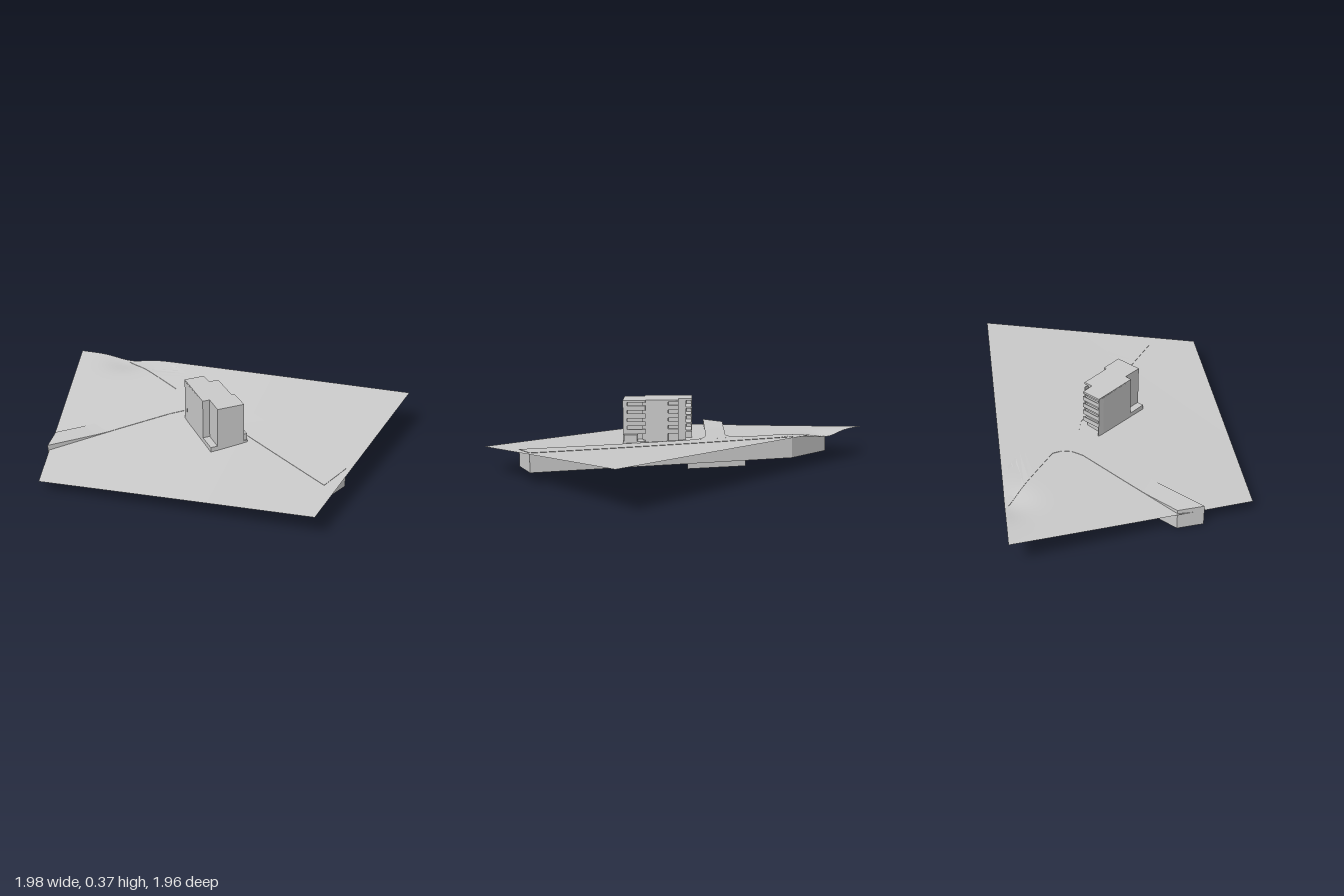
import * as THREE from 'three';

const grey = new THREE.MeshStandardMaterial({ color: 0xcccccc, flatShading: true });
const sheet = new THREE.MeshStandardMaterial({ color: 0xcccccc, side: THREE.DoubleSide });
const mix = (a, b, t) => a + (b - a) * t;

// Height of the sloping ground, with a dip where the road leaves it
function ground(x, z) {
  const dip = 0.025 * Math.exp(-((x + 0.25) ** 2 + (z + 0.78) ** 2) / 0.012);
  return 0.15 + 0.079 * x - 0.036 * z + 0.007 * (z * z - x * x) - dip;
}

function add(group, name, geometry, material = grey) {
  const mesh = new THREE.Mesh(geometry, material);
  mesh.name = name;
  group.add(mesh);
}

// Four-cornered ground sheet
function terrainGeometry() {
  const n = 48;
  const g = new THREE.PlaneGeometry(1, 1, n, n);
  const p = g.attributes.position;
  const [a, b, c, d] = [[-0.47, -0.98], [0.99, 0.2], [0.11, 0.98], [-0.99, 0.14]];
  for (let i = 0; i < p.count; i++) {
    const u = p.getX(i) + 0.5, v = 0.5 - p.getY(i);
    const [x, z] = [0, 1].map(k => mix(mix(a[k], b[k], u), mix(d[k], c[k], u), v));
    p.setXYZ(i, x, ground(x, z), z);
  }
  g.computeVertexNormals();
  return g;
}

// Solid strip between a left and a right edge, from a flat bottom to a top rule
function roadGeometry(left, right, bottom, top) {
  const rings = left.map(([lx, lz], i) => {
    const [rx, rz] = right[i];
    return [[lx, top(lx, lz), lz], [rx, top(rx, rz), rz], [rx, bottom, rz], [lx, bottom, lz]];
  });
  const v = [];
  const quad = (a, b, c, d) => v.push(...a, ...b, ...c, ...a, ...c, ...d);
  for (let i = 0; i + 1 < rings.length; i++) {
    for (let k = 0; k < 4; k++) {
      const m = (k + 1) % 4;
      quad(rings[i][k], rings[i][m], rings[i + 1][m], rings[i + 1][k]);
    }
  }
  const [s, e] = [rings[0], rings[rings.length - 1]];
  quad(s[0], s[3], s[2], s[1]);
  quad(e[0], e[1], e[2], e[3]);
  const g = new THREE.BufferGeometry();
  g.setAttribute('position', new THREE.Float32BufferAttribute(v, 3));
  g.computeVertexNormals();
  return g;
}

// Subdivide an edge so the road can follow the ground
function subdivide(points, n) {
  const out = [points[0]];
  for (let i = 1; i < points.length; i++)
    for (let j = 1; j <= n; j++)
      out.push([0, 1].map(k => mix(points[i - 1][k], points[i][k], j / n)));
  return out;
}

// Upright prism over an [x, z] outline
function prism(outline, y0, y1) {
  const shape = new THREE.Shape(outline.map(([x, z]) => new THREE.Vector2(x, -z)));
  const g = new THREE.ExtrudeGeometry(shape, { depth: y1 - y0, bevelEnabled: false });
  g.rotateX(-Math.PI / 2);
  g.translate(0, y0, 0);
  return g;
}

function building() {
  const group = new THREE.Group();
  group.name = 'building';
  const roof = [[-0.16, -0.075], [-0.055, -0.08], [-0.05, -0.012], [0, -0.015], [0.01, 0.155],
    [0.025, 0.155], [0.033, 0.27], [-0.108, 0.275], [-0.112, 0.17], [-0.149, 0.172]];
  // Core set back behind the balconies
  const core = [[-0.16, -0.045], [-0.055, -0.05], [-0.05, -0.012], [-0.025, -0.013], [-0.022, 0.04],
    [0.003, 0.04], [0.01, 0.17], [-0.015, 0.172], [-0.012, 0.25], [0.032, 0.248], [0.033, 0.27],
    [-0.108, 0.275], [-0.112, 0.17], [-0.149, 0.172]];
  add(group, 'core', prism(core, 0.06, 0.36));
  add(group, 'roof', prism(roof, 0.355, 0.365));
  // Floors with a solid parapet along each balcony
  const balconies = [
    [[-0.022, -0.014], [0, -0.015], [0.003, 0.04], [-0.022, 0.04]],
    [[-0.015, 0.157], [0.025, 0.155], [0.032, 0.25], [-0.012, 0.25]],
    [[-0.16, -0.075], [-0.055, -0.08], [-0.055, -0.045], [-0.16, -0.04]],
  ];
  const parapets = [
    [[-0.005, -0.015], [0, -0.015], [0.003, 0.04], [-0.002, 0.04]],
    [[0.02, 0.155], [0.025, 0.155], [0.032, 0.25], [0.027, 0.25]],
    [[-0.16, -0.075], [-0.055, -0.08], [-0.055, -0.075], [-0.16, -0.07]],
  ];
  for (let floor = 0; floor < 4; floor++) {
    const y = 0.19 + floor * 0.041;
    balconies.forEach(b => add(group, 'balconyFloor', prism(b, y, y + 0.008)));
    parapets.forEach(b => add(group, 'balconyParapet', prism(b, y, y + 0.024)));
  }
  // Side wall closing the rear balconies
  add(group, 'balconyWall', prism([[-0.16, -0.075], [-0.154, -0.075], [-0.154, -0.04], [-0.16, -0.04]], 0.06, 0.36));
  // Low base and entrance block
  add(group, 'base', prism([[-0.149, 0.165], [0.045, 0.155], [0.053, 0.268], [-0.144, 0.275]], 0.06, 0.155));
  add(group, 'basement', prism([[-0.16, -0.075], [-0.055, -0.08], [0, -0.015], [0.087, 0.268], [-0.144, 0.272]], 0.06, 0.12));
  add(group, 'entrance', prism([[0, 0.195], [0.05, 0.195], [0.053, 0.262], [0, 0.265]], 0.12, 0.19));
  return group;
}

export function createModel() {
  const model = new THREE.Group();
  model.name = 'hillsideSite';
  add(model, 'terrain', terrainGeometry(), sheet);

  // Main road, its top flush with the slope
  add(model, 'mainRoad', roadGeometry(
    subdivide([[0.25, 0.77], [-0.25, -0.78]], 32),
    subdivide([[0.4, 0.69], [-0.05, -0.6]], 32),
    0.06, (x, z) => ground(x, z) + 0.002));

  // Side road, raised at its outer end and flared at the junction
  add(model, 'sideRoad', roadGeometry(
    subdivide([[-0.815, -0.215], [-0.5, -0.235], [-0.22, -0.25], [-0.165, -0.27], [-0.13, -0.305], [-0.112, -0.36]], 6),
    subdivide([[-0.885, -0.1], [-0.5, -0.128], [-0.22, -0.145], [-0.12, -0.14], [-0.06, -0.115], [-0.018, -0.06]], 6),
    0, (x, z) => Math.max(0.108, ground(x, z) + 0.002)));

  model.add(building());
  return model;
}
